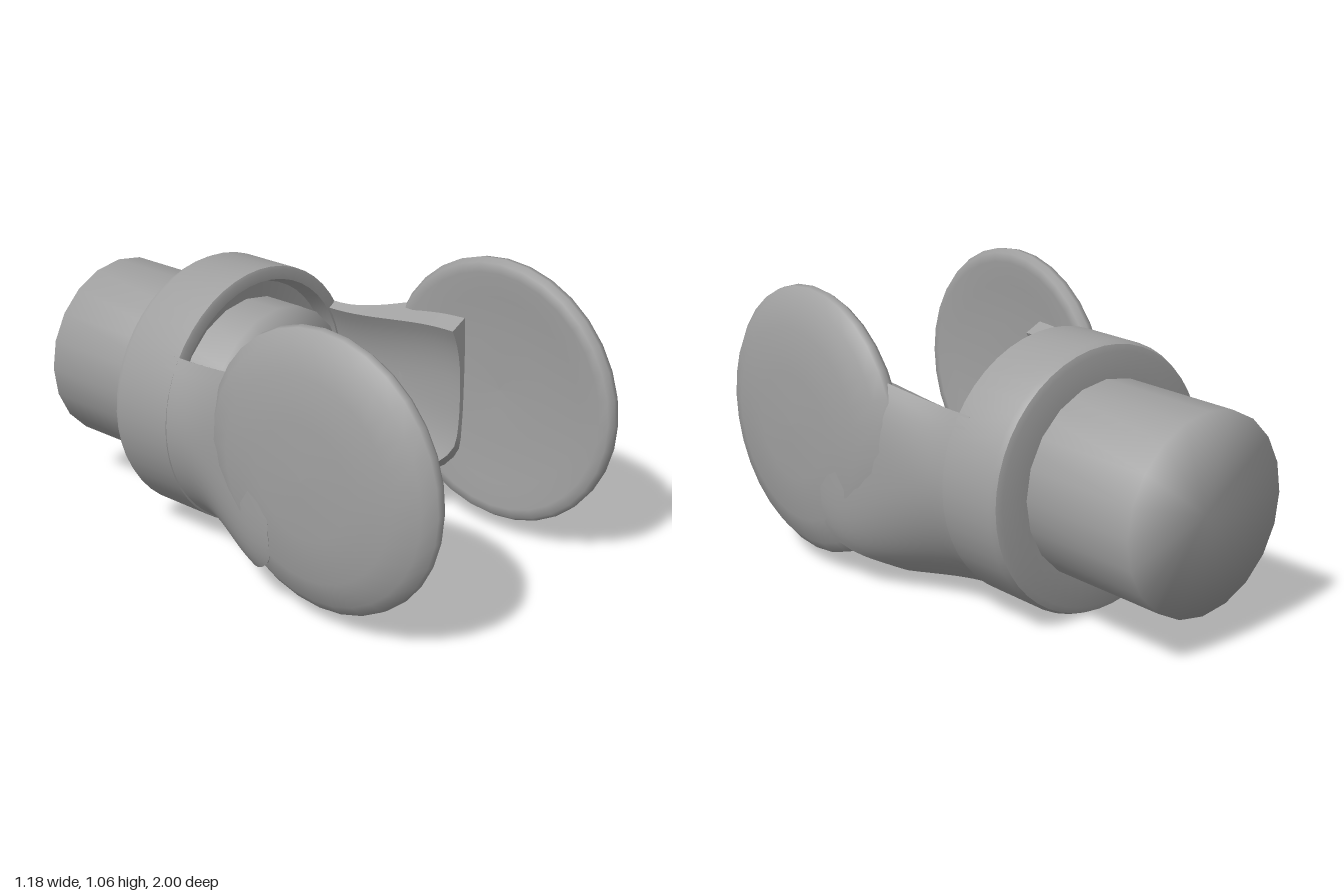
import * as THREE from 'three';
import { mergeVertices, toCreasedNormals } from 'three/addons/utils/BufferGeometryUtils.js';

const V = (x, y) => new THREE.Vector2(x, y);
const CX = -0.005, CY = 0.49;
const smooth = THREE.MathUtils.smoothstep;
const spow = (v, p) => Math.sign(v) * Math.pow(Math.abs(v), p);

// Open U-shaped shell: round at the back, wider and squarer at the front
function forkShell() {
  const A = THREE.MathUtils.degToRad(122), N = 48, M = 14, L = 2 * (M + 1);
  const pos = [], idx = [];
  for (let i = 0; i <= N; i++) {
    const a = -A + (2 * A * i) / N;
    const front = 0.12 + 0.22 * smooth(Math.abs(a), 0.62, 1.3);
    for (let k = 0; k < L; k++) {
      const inner = k > M;
      const t = (inner ? L - 1 - k : k) / M;
      const z = -0.3 + (front + 0.3) * t;
      const g = smooth(z, -0.22, 0.3);
      const w = inner ? 0.445 + 0.008 * g : 0.485 + 0.1 * g;
      const h = inner ? 0.45 + 0.015 * g : 0.485;
      const p = inner ? 1 - 0.2 * g : 1 - 0.48 * g;
      pos.push(w * spow(Math.sin(a), p), CY - h * spow(Math.cos(a), p), z);
    }
  }
  const quad = (a, b, c, d) => idx.push(a, b, c, a, c, d);
  for (let i = 0; i < N; i++) for (let k = 0; k < L; k++) {
    const n = (k + 1) % L;
    quad(i * L + k, (i + 1) * L + k, (i + 1) * L + n, i * L + n);
  }
  // Upper rims of the two side walls
  const e = N * L;
  for (let j = 0; j < M; j++) {
    quad(j, j + 1, L - 2 - j, L - 1 - j);
    quad(e + L - 1 - j, e + L - 2 - j, e + j + 1, e + j);
  }
  const geo = new THREE.BufferGeometry();
  geo.setAttribute('position', new THREE.Float32BufferAttribute(pos, 3));
  geo.setIndex(idx);
  return toCreasedNormals(geo, 0.9);
}

export function createModel() {
  const group = new THREE.Group();
  const grey = new THREE.MeshStandardMaterial({ color: 0xa0a0a0 });
  grey.name = 'grey';
  const add = (name, geo, x, y, z) => {
    const mesh = new THREE.Mesh(geo, grey);
    mesh.name = name;
    mesh.position.set(x, y, z);
    group.add(mesh);
    return mesh;
  };

  // Shaft with softly shaded ends
  let shaft = new THREE.CylinderGeometry(0.355, 0.355, 0.85, 20);
  shaft.deleteAttribute('normal');
  shaft.deleteAttribute('uv');
  shaft = mergeVertices(shaft);
  shaft.computeVertexNormals();
  shaft.rotateX(Math.PI / 2);
  add('shaft', shaft, -0.01, 0.497, -0.575);

  // Collar: rounded back edge, hollow front with a shallow seat
  const collar = new THREE.LatheGeometry([
    V(0.33, -0.52), V(0.455, -0.52), V(0.478, -0.512), V(0.488, -0.49),
    V(0.488, -0.245), V(0.475, -0.24), V(0.44, -0.24), V(0.42, -0.3), V(0.33, -0.31),
  ], 48);
  collar.rotateX(Math.PI / 2);
  add('collar', toCreasedNormals(collar, 0.7), CX, CY, 0);

  // Fork body joining the collar to both cheeks
  add('forkBody', forkShell(), CX, 0.005, 0);

  // Round cheeks: domed outside, slightly dished inside
  const cheekProfile = [
    V(0, 0.478), V(0.2, 0.473), V(0.36, 0.46), V(0.45, 0.448), V(0.485, 0.453), V(0.5, 0.475),
    V(0.496, 0.5), V(0.455, 0.535), V(0.36, 0.574), V(0.2, 0.589), V(0, 0.592),
  ];
  for (const side of [1, -1]) {
    const cheek = new THREE.LatheGeometry(cheekProfile, 32);
    cheek.rotateZ(-side * Math.PI / 2);
    add(side > 0 ? 'leftCheek' : 'rightCheek', cheek, CX, 0.565, 0.5);
  }
  return group;
}
